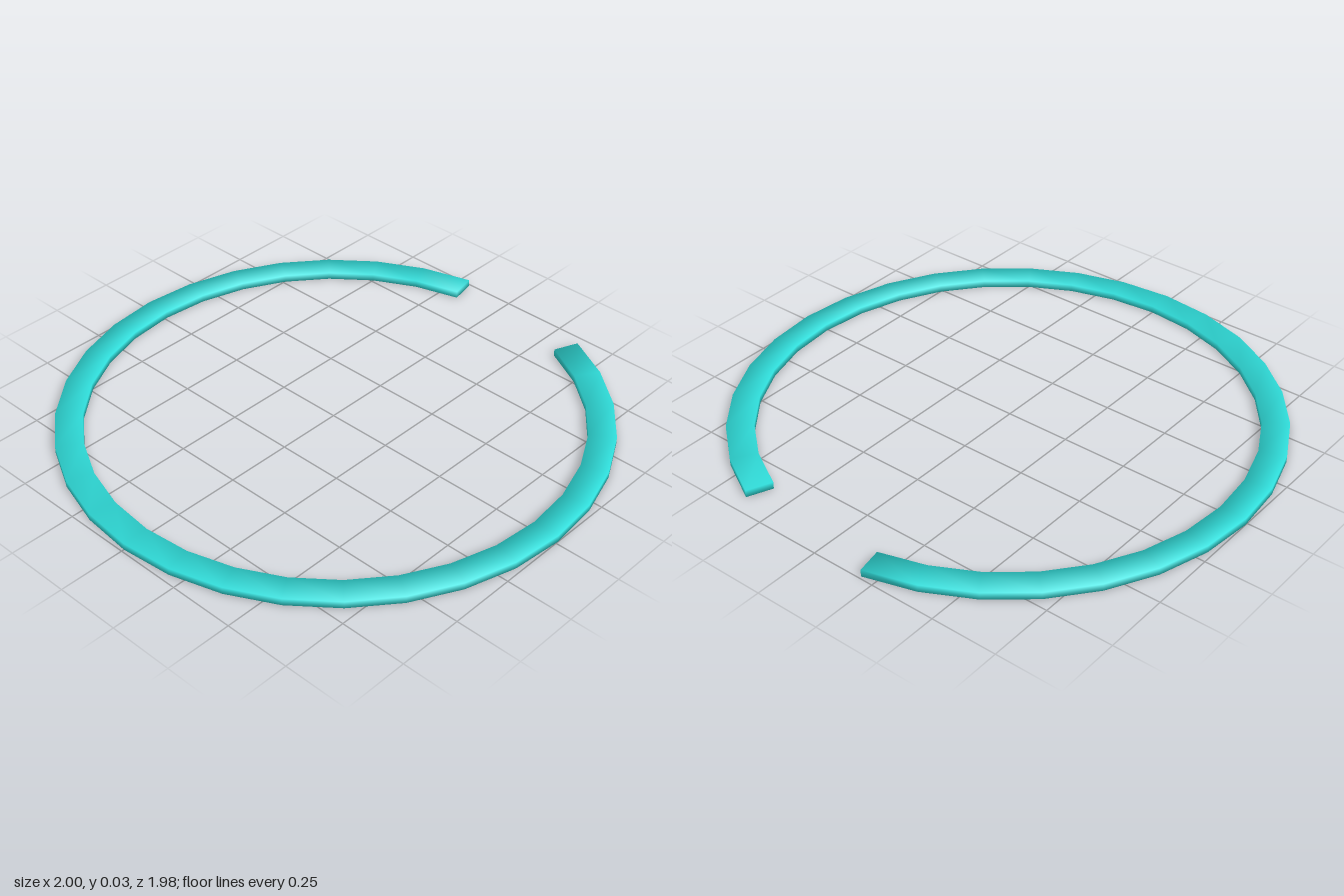
import * as THREE from 'three';

const STEP = Math.PI / 16;          // 32 steps would close the ring
const SEGMENTS = 29;                // three steps are left open at the back
const OUTER = 1, INNER = 0.9, HEIGHT = 0.027;
const CENTRE_Z = -0.01;

// Open ring: a flat rectangular section swept round the circle, with soft corner normals
function openRingGeometry() {
  const section = [[1, 0], [1, 1], [0, 1], [0, 0]];   // [outer?, top?]
  const positions = [], normals = [], index = [];
  for (let i = 0; i <= SEGMENTS; i++) {
    const a = Math.PI + 2 * STEP - Math.PI * 2 - i * STEP + Math.PI * 2;
    // angle measured from the front; starts at the left end and runs round the front
    const t = Math.PI - 2 * STEP - i * STEP;
    const s = Math.sin(t), c = Math.cos(t);
    const end = i === 0 ? 1 : i === SEGMENTS ? -1 : 0;
    for (const [out, top] of section) {
      const r = out ? OUTER : INNER;
      positions.push(r * s, top * HEIGHT, r * c + CENTRE_Z);
      const side = out ? 1 : -1;
      const n = new THREE.Vector3(side * s + end * c, top ? 1 : -1, side * c - end * s).normalize();
      normals.push(n.x, n.y, n.z);
    }
  }
  for (let i = 0; i < SEGMENTS; i++) {
    for (let j = 0; j < 4; j++) {
      const a = i * 4 + j, b = i * 4 + (j + 1) % 4;
      index.push(a, b, b + 4, a, b + 4, a + 4);
    }
  }
  // end caps
  const e = SEGMENTS * 4;
  index.push(0, 2, 1, 0, 3, 2, e, e + 1, e + 2, e, e + 2, e + 3);

  const geometry = new THREE.BufferGeometry();
  geometry.setAttribute('position', new THREE.Float32BufferAttribute(positions, 3));
  geometry.setAttribute('normal', new THREE.Float32BufferAttribute(normals, 3));
  geometry.setIndex(index);
  return geometry;
}

export function createModel() {
  const group = new THREE.Group();
  group.name = 'openBand';
  const material = new THREE.MeshStandardMaterial({ color: 0x30e0dd });
  const ring = new THREE.Mesh(openRingGeometry(), material);
  ring.name = 'ring';
  group.add(ring);
  return group;
}
